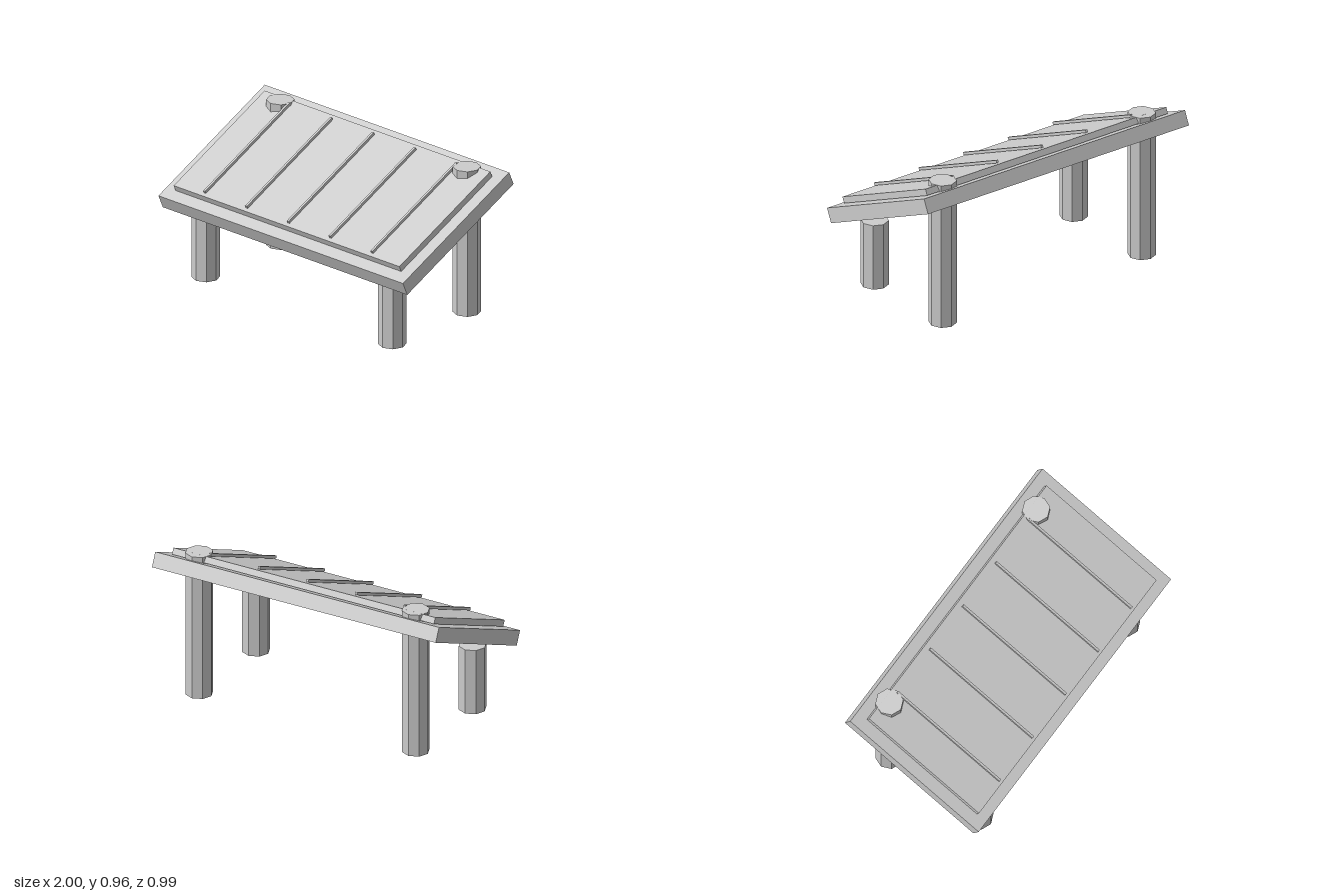
import * as THREE from 'three';

export function createModel() {
  const model = new THREE.Group();
  const grey = new THREE.MeshStandardMaterial({ color: 0xcccccc, flatShading: true });
  grey.name = 'light grey';

  const add = (parent, name, geometry, x, y, z) => {
    const mesh = new THREE.Mesh(geometry, grey);
    mesh.name = name;
    mesh.position.set(x, y, z);
    parent.add(mesh);
  };

  // Sloping top, built flat around the centre of the board and then tilted
  const top = new THREE.Group();
  top.name = 'tiltedPanel';
  top.position.set(0, 0.687, 0.002);
  top.rotation.x = THREE.MathUtils.degToRad(24.1);
  model.add(top);

  add(top, 'frame', new THREE.BoxGeometry(2, 0.096, 1.047), 0, 0, 0);
  add(top, 'panel', new THREE.BoxGeometry(1.846, 0.041, 0.896), 0, 0.072, -0.002);

  // Thin dividing bars running up the slope
  for (let i = -2; i <= 2; i++) {
    add(top, 'dividerBar', new THREE.BoxGeometry(0.015, 0.018, 0.838), i * 0.342, 0.106, 0.004);
  }

  // Eight-sided posts: short in front, tall ones passing through the top at the back
  for (const side of [-1, 1]) {
    for (const [name, height, z] of [['frontLeg', 0.43, 0.335], ['backLeg', 0.955, -0.335]]) {
      add(model, name, new THREE.CylinderGeometry(0.086, 0.086, height, 8), side * 0.763, height / 2, z);
    }
  }
  return model;
}
